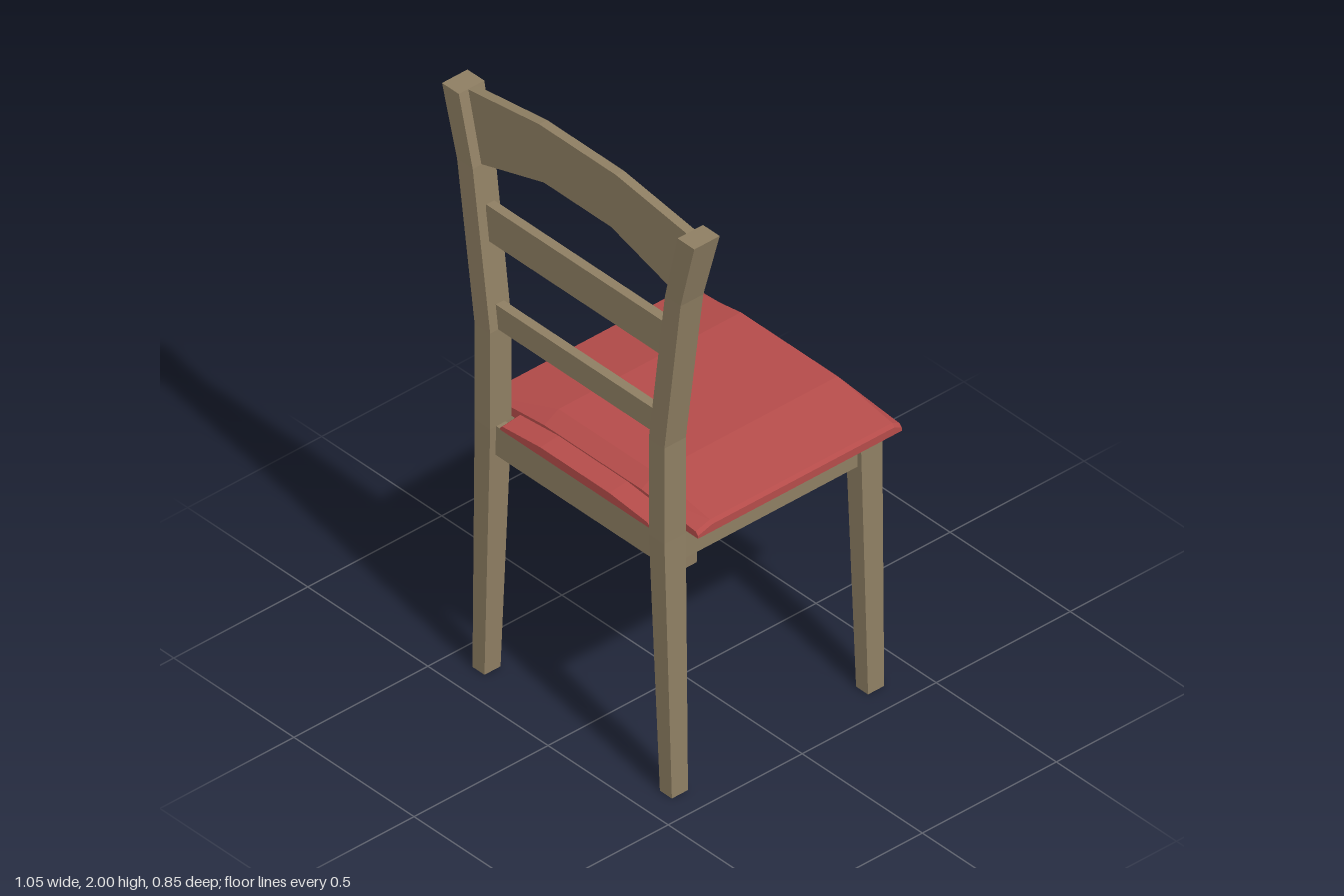
import * as THREE from 'three';

const wood = new THREE.MeshStandardMaterial({ color: 0x8f7f63, flatShading: true });
const fabric = new THREE.MeshStandardMaterial({ color: 0xb54c4a, flatShading: true });

// Skins convex rings of [x, y, z] points, counter-clockwise seen from the end they advance to.
function loft(rings) {
  const pos = [];
  const tri = (a, b, c) => pos.push(...a, ...b, ...c);
  const n = rings[0].length;
  for (let r = 0; r + 1 < rings.length; r++) {
    const a = rings[r], b = rings[r + 1];
    for (let i = 0; i < n; i++) {
      const j = (i + 1) % n;
      tri(a[i], a[j], b[j]);
      tri(a[i], b[j], b[i]);
    }
  }
  const first = rings[0], last = rings[rings.length - 1];
  for (let i = 1; i + 1 < n; i++) {
    tri(first[0], first[i + 1], first[i]);
    tri(last[0], last[i], last[i + 1]);
  }
  const g = new THREE.BufferGeometry();
  g.setAttribute('position', new THREE.Float32BufferAttribute(pos, 3));
  g.computeVertexNormals();
  return g;
}

// Rectangular post through sections [y, x centre, x width, z centre, z depth].
function post(sections, side) {
  return loft(sections.map(([y, cx, w, z, d]) => {
    const x = cx * side;
    return [
      [x - w / 2, y, z - d / 2], [x - w / 2, y, z + d / 2],
      [x + w / 2, y, z + d / 2], [x + w / 2, y, z - d / 2],
    ];
  }));
}

// Crowned cushion through sections [z, half width, edge height, crown height].
function cushion(sections) {
  const base = 0.87;
  return loft(sections.map(([z, w, edge, crown]) => [
    [-w, base, z], [w, base, z], [w, edge - 0.01, z], [w - 0.01, edge, z],
    [w * 0.46, crown, z], [-w * 0.46, crown, z], [-w + 0.01, edge, z], [-w, edge - 0.01, z],
  ]));
}

export function createModel() {
  const model = new THREE.Group();
  const add = (name, geometry, material = wood) => {
    const mesh = new THREE.Mesh(geometry, material);
    mesh.name = name;
    model.add(mesh);
    return mesh;
  };
  const box = (name, w, h, d, x, y, z) =>
    add(name, new THREE.BoxGeometry(w, h, d)).position.set(x, y, z);

  for (const side of [1, -1]) {
    const label = side > 0 ? 'left' : 'right';
    // Rear leg continuing up into the flared back post
    add(label + 'BackPost', post([
      [0, 0.39, 0.05, 0.38, 0.06],
      [0.87, 0.3625, 0.065, 0.38, 0.08],
      [1.2, 0.3625, 0.065, 0.38, 0.08],
      [1.73, 0.4325, 0.065, 0.38, 0.085],
      [1.96, 0.49, 0.07, 0.3775, 0.095],
    ], side));
    // Tapered leg at the open edge of the seat
    add(label + 'SeatLeg', post([
      [0, 0.39, 0.05, -0.352, 0.06],
      [0.87, 0.3625, 0.065, -0.353, 0.08],
    ], side));
    box(label + 'Apron', 0.035, 0.1, 0.67, side * 0.3625, 0.82, 0.015);
  }

  // Cross aprons
  box('seatEdgeApron', 0.67, 0.1, 0.035, 0, 0.82, -0.353);
  box('backApron', 0.67, 0.1, 0.035, 0, 0.82, 0.38);

  // Back slats
  box('lowerSlat', 0.69, 0.08, 0.03, 0, 1.24, 0.375);
  box('middleSlat', 0.76, 0.12, 0.03, 0, 1.543, 0.375);

  // Arched top rail
  const arch = new THREE.Shape([
    [-0.46, 1.958], [-0.405, 1.73], [-0.14, 1.81], [0.14, 1.81],
    [0.405, 1.73], [0.46, 1.958], [0.16, 2], [-0.16, 2],
  ].map(([x, y]) => new THREE.Vector2(x, y)));
  add('topRail', new THREE.ExtrudeGeometry(arch, { depth: 0.03, bevelEnabled: false }))
    .position.z = 0.36;

  // Padded seat, with a narrower tongue between the back posts
  add('seat', cushion([
    [-0.428, 0.438, 0.89, 0.905],
    [-0.4, 0.438, 0.905, 0.942],
    [0.28, 0.438, 0.905, 0.942],
    [0.333, 0.438, 0.89, 0.912],
  ]), fabric);
  add('seatTongue', cushion([
    [0.333, 0.312, 0.893, 0.908],
    [0.4, 0.312, 0.885, 0.9],
  ]), fabric);

  return model;
}
